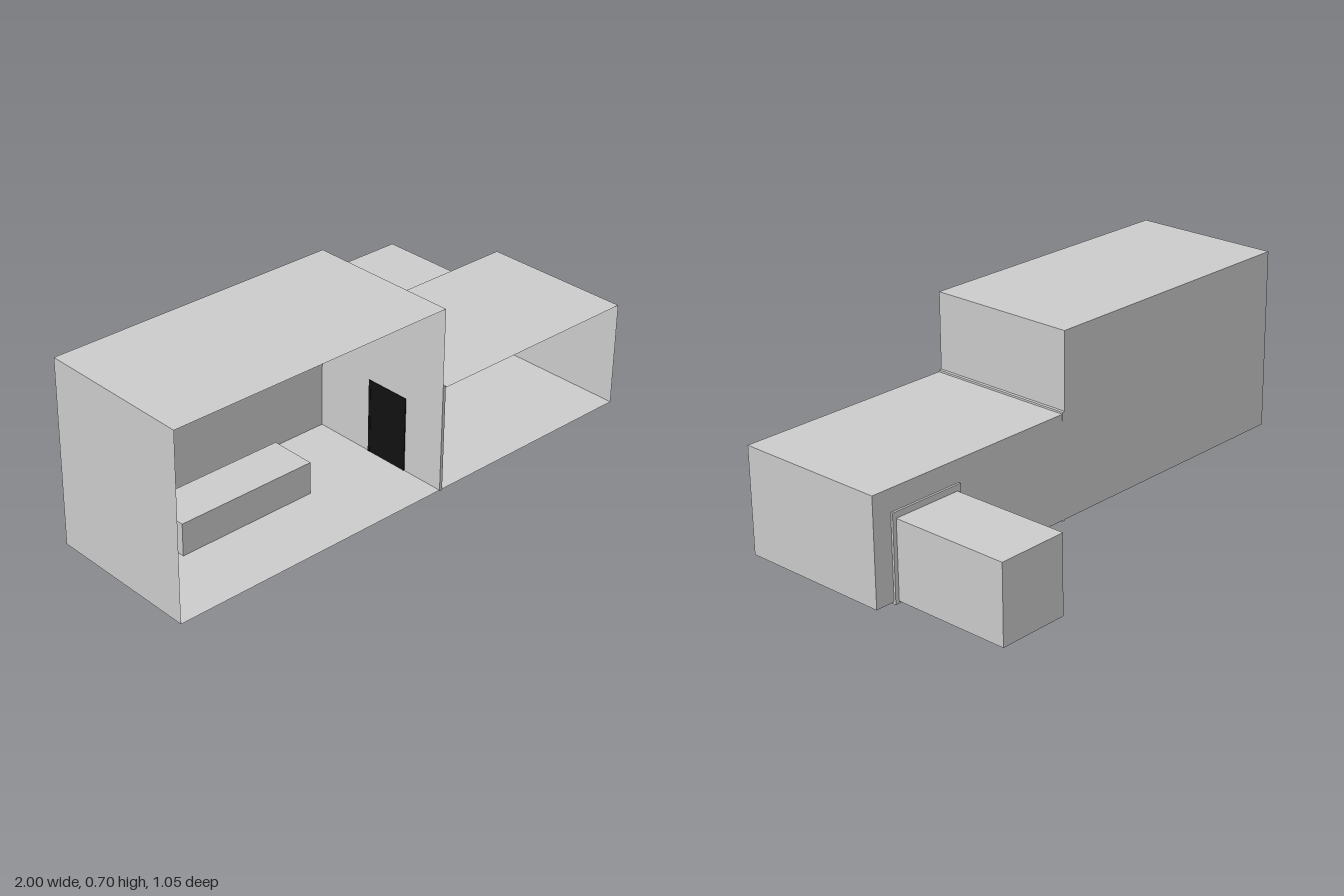
import * as THREE from 'three';

const grey = new THREE.MeshStandardMaterial({ color: 0xcccccc, side: THREE.DoubleSide });
const black = new THREE.MeshStandardMaterial({ color: 0x111111 });

export function createModel() {
  const model = new THREE.Group();

  const add = (name, geometry, material = grey) => {
    const mesh = new THREE.Mesh(geometry, material);
    mesh.name = name;
    model.add(mesh);
    return mesh;
  };

  // Box given by its extents along x, y and z
  const boxGeometry = ([x0, x1], [y0, y1], [z0, z1]) =>
    new THREE.BoxGeometry(x1 - x0, y1 - y0, z1 - z0)
      .translate((x0 + x1) / 2, (y0 + y1) / 2, (z0 + z1) / 2);
  const box = (name, x, y, z, material) => add(name, boxGeometry(x, y, z), material);

  // Thin-walled room without its +z face (the fifth face of a box)
  const openRoom = (name, x, y, z) => {
    const geometry = boxGeometry(x, y, z);
    const index = Array.from(geometry.index.array);
    index.splice(24, 6);
    geometry.setIndex(index);
    geometry.clearGroups();
    return add(name, geometry);
  };

  // U-shaped door surround in the xy plane, standing on y = 0
  const surround = (width, height, side, top, depth) => {
    const w = width / 2, i = w - side, h = height - top;
    const shape = new THREE.Shape([
      [-w, 0], [-i, 0], [-i, h], [i, h], [i, 0], [w, 0], [w, height], [-w, height],
    ].map(([x, y]) => new THREE.Vector2(x, y)));
    return new THREE.ExtrudeGeometry(shape, { depth, bevelEnabled: false })
      .translate(0, 0, -depth / 2);
  };

  // Rooms, open to the front
  openRoom('tallRoom', [-1, 0.12], [0.008, 0.697], [-0.062, 0.523]);
  openRoom('lowRoom', [0.126, 1], [0.008, 0.402], [-0.062, 0.523]);
  box('dividingWall', [0.12, 0.132], [0.004, 0.409], [-0.063, 0.523]);

  // Counter in the tall room
  box('counter', [-0.765, -0.215], [0.008, 0.13], [0.07, 0.245]);

  // Dark door set through the dividing wall
  const doorFrame = add('doorFrame', surround(0.178, 0.291, 0.01, 0.01, 0.018), black);
  doorFrame.rotation.y = Math.PI / 2;
  doorFrame.position.set(0.126, 0, 0.265);
  box('door', [0.118, 0.134], [0.002, 0.282], [0.185, 0.345], black);
  const knob = add('doorKnob', new THREE.SphereGeometry(0.005, 12, 8), black);
  knob.position.set(0.139, 0.14, 0.325);

  // Lift cabin behind the low room, with its doorway in the back wall
  box('liftCabin', [0.64, 0.91], [0.008, 0.297], [-0.523, -0.07]);
  const liftFrame = add('liftFrame', surround(0.3, 0.32, 0.032, 0.04, 0.02));
  liftFrame.position.set(0.775, 0, -0.06);
  box('liftDoor', [0.657, 0.893], [0.008, 0.278], [-0.068, -0.05]);
  box('liftDoorGap', [0.66, 0.89], [0.278, 0.283], [-0.06, -0.049], black);
  box('liftIndicator', [0.787, 0.793], [0.298, 0.303], [-0.052, -0.049], black);

  return model;
}
